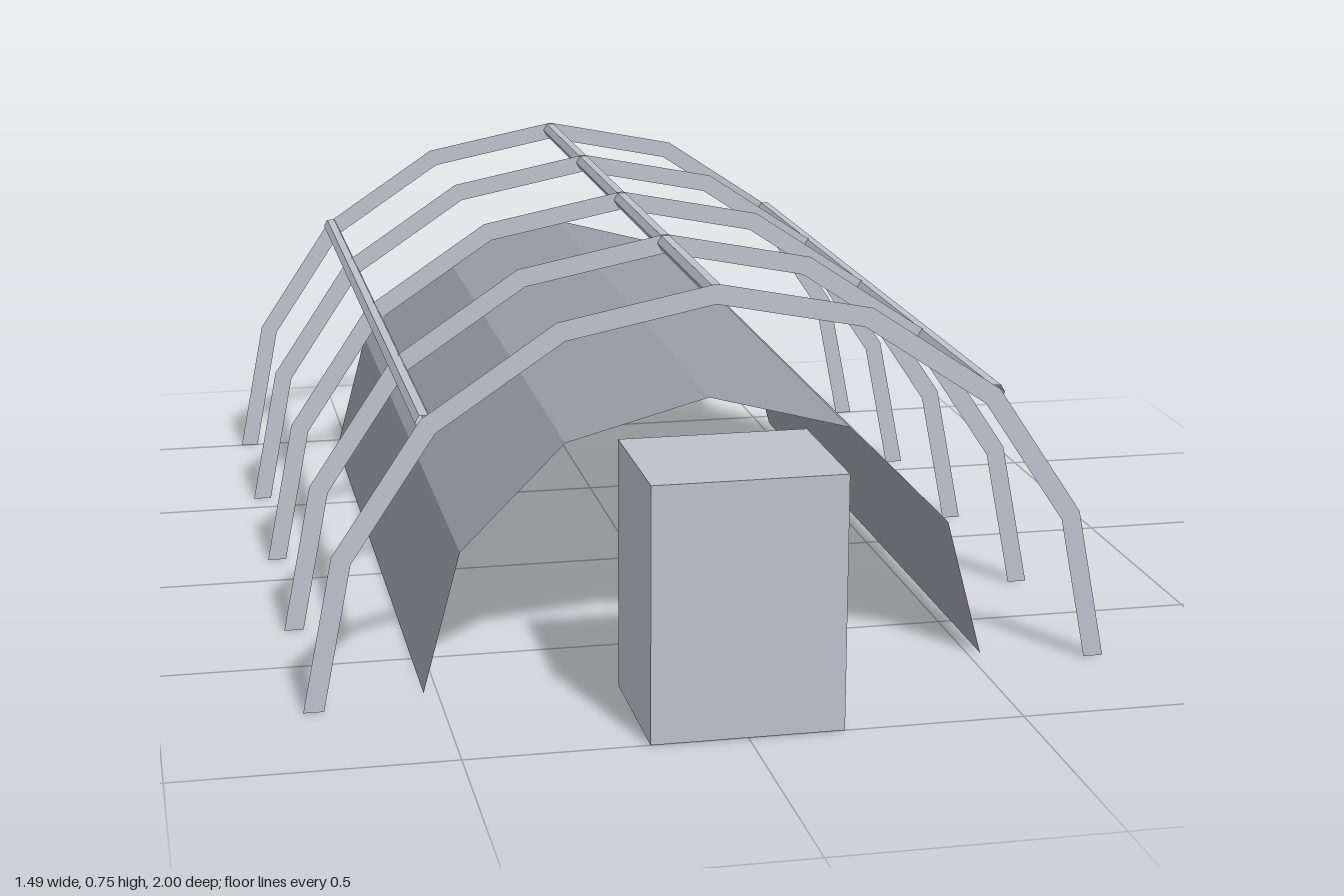
import * as THREE from 'three';

export function createModel() {
  const model = new THREE.Group();
  const paleGrey = new THREE.MeshStandardMaterial({ color: 0xbcc1cc, side: THREE.DoubleSide, flatShading: true });
  paleGrey.name = 'paleGrey';
  const coverGrey = new THREE.MeshStandardMaterial({ color: 0x999da7, side: THREE.DoubleSide, flatShading: true });
  coverGrey.name = 'coverGrey';

  const zFront = 0.735, zBack = -1;
  const add = (name, geometry, material, x = 0, y = 0, z = 0) => {
    const mesh = new THREE.Mesh(geometry, material);
    mesh.name = name;
    mesh.position.set(x, y, z);
    model.add(mesh);
    return mesh;
  };

  // Points on a half circle split into equal straight segments
  const arc = (r, n) => Array.from({ length: n + 1 }, (_, i) => {
    const a = (Math.PI * i) / n;
    return new THREE.Vector2(r * Math.cos(a), r * Math.sin(a));
  });

  // Five flat eight-segment hoops
  const hoop = new THREE.ShapeGeometry(new THREE.Shape([...arc(0.746, 8), ...arc(0.709, 8).reverse()]));
  for (let i = 0; i < 5; i++) {
    add('hoop' + (i + 1), hoop, paleGrey, 0, 0, zFront + ((zBack - zFront) * i) / 4);
  }

  // Three open hexagonal tubes running along the hoops
  const rail = new THREE.CylinderGeometry(0.016, 0.016, zFront - zBack, 6, 1, true);
  rail.rotateX(Math.PI / 2).rotateZ(Math.PI / 2);
  const zMid = (zFront + zBack) / 2;
  add('ridgeRail', rail, paleGrey, 0, 0.729, zMid);
  add('leftRail', rail, paleGrey, 0.521, 0.521, zMid);
  add('rightRail', rail, paleGrey, -0.521, 0.521, zMid);

  // Inner cover: one thin sheet of six flat panels
  const coverFront = 0.68, coverBack = -0.942;
  const profile = arc(0.525, 6);
  const positions = [], indices = [];
  profile.forEach((p, i) => {
    positions.push(p.x, p.y, coverFront, p.x, p.y, coverBack);
    if (i < profile.length - 1) {
      const a = 2 * i;
      indices.push(a, a + 1, a + 2, a + 1, a + 3, a + 2);
    }
  });
  const sheet = new THREE.BufferGeometry();
  sheet.setAttribute('position', new THREE.Float32BufferAttribute(positions, 3));
  sheet.setIndex(indices);
  const cover = sheet.toNonIndexed();
  cover.computeVertexNormals();
  add('innerCover', cover, coverGrey);

  // Block standing at the entrance
  add('entranceBlock', new THREE.BoxGeometry(0.346, 0.466, 0.288), paleGrey, 0, 0.233, 0.856);

  return model;
}
